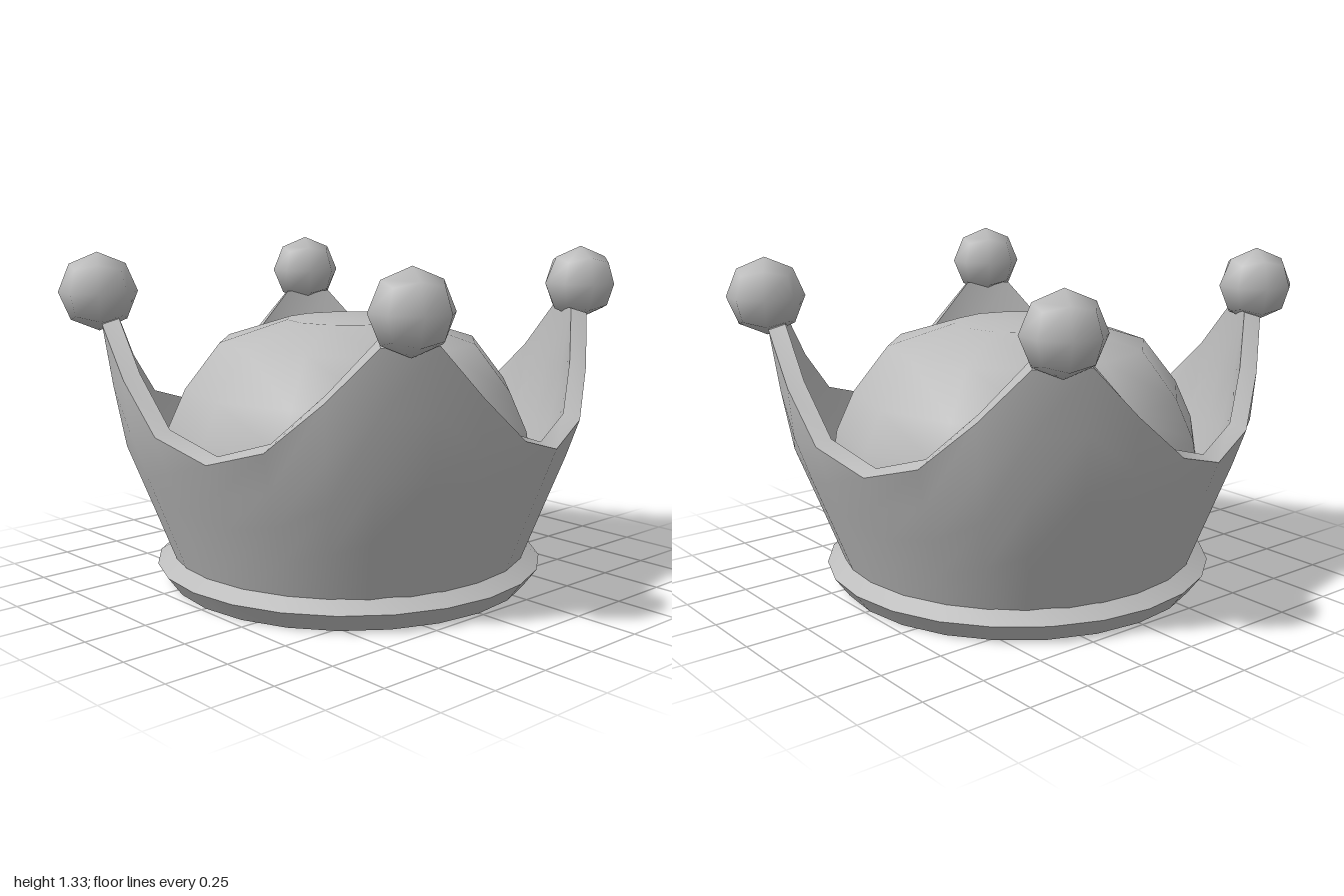
import * as THREE from 'three';
import { toCreasedNormals } from 'three/addons/utils/BufferGeometryUtils.js';

const rad = THREE.MathUtils.degToRad;
const THICKNESS = 0.065;
const WALL_BOTTOM = 0.11;

// Outer wall: [height, radius]
const FLARE = [[0.11, 0.718], [0.35, 0.81], [0.62, 0.915], [0.69, 0.935], [0.88, 0.95], [1.06, 0.98]];
// One point of the crown: [degrees from its tip, rim height]
const POINT = [[-30, 0.69], [-17, 0.87], [-6, 1.06], [6, 1.06], [17, 0.87], [30, 0.69], [45, 0.62]];
const TIP_ANGLES = [30, 120, 210, 300];

function wallRadius(y) {
  let i = 1;
  while (i < FLARE.length - 1 && y > FLARE[i][0]) i++;
  const [y0, r0] = FLARE[i - 1], [y1, r1] = FLARE[i];
  return r0 + (r1 - r0) * (y - y0) / (y1 - y0);
}

// Flared wall with thickness, its rim rising to four points
function wallGeometry() {
  const columns = TIP_ANGLES.flatMap(tip => POINT.map(([d, h]) => [rad(tip + d), h]));
  const steps = [0, 0.25, 0.5, 0.75, 1];
  const position = [], index = [];
  for (const [a, h] of columns) {
    const add = (r, y) => position.push(r * Math.cos(a), y, r * Math.sin(a));
    for (const t of steps) {
      const y = WALL_BOTTOM + (h - WALL_BOTTOM) * t;
      add(wallRadius(y), y);
    }
    for (const t of [...steps].reverse()) {
      const y = WALL_BOTTOM + (h - WALL_BOTTOM) * t;
      add(wallRadius(y) - THICKNESS, y + 0.02 * t);
    }
  }
  const n = steps.length * 2;
  for (let i = 0; i < columns.length; i++) {
    const next = (i + 1) % columns.length;
    for (let j = 0; j < n; j++) {
      const k = (j + 1) % n;
      const a = i * n + j, b = i * n + k, c = next * n + k, d = next * n + j;
      index.push(a, b, d, b, c, d);
    }
  }
  const geometry = new THREE.BufferGeometry();
  geometry.setAttribute('position', new THREE.Float32BufferAttribute(position, 3));
  geometry.setIndex(index);
  return toCreasedNormals(geometry, rad(35));
}

function lathe(points, segments, crease) {
  const profile = points.map(([r, y]) => new THREE.Vector2(r, y));
  return toCreasedNormals(new THREE.LatheGeometry(profile, segments), rad(crease));
}

// Rounded cube ball with smooth normals
function ballGeometry(radius) {
  const geometry = new THREE.BoxGeometry(1, 1, 1, 2, 2, 2);
  const { position, normal } = geometry.attributes;
  const v = new THREE.Vector3();
  for (let i = 0; i < position.count; i++) {
    v.fromBufferAttribute(position, i).normalize();
    normal.setXYZ(i, v.x, v.y, v.z);
    position.setXYZ(i, v.x * radius, v.y * radius, v.z * radius);
  }
  return geometry;
}

export function createModel() {
  const crown = new THREE.Group();
  crown.name = 'crown';
  const grey = new THREE.MeshStandardMaterial({ color: 0xbcbcbc });
  grey.name = 'grey';

  const add = (name, geometry) => {
    const mesh = new THREE.Mesh(geometry, grey);
    mesh.name = name;
    crown.add(mesh);
    return mesh;
  };

  add('pointedWall', wallGeometry());

  // Bevelled band around the foot
  add('baseBand', lathe(
    [[0.655, 0.12], [0.655, 0], [0.73, 0], [0.785, 0.075], [0.71, 0.122], [0.655, 0.12]], 24, 30));

  // Domed cushion, its flat underside set into the wall
  add('cushion', lathe(
    [[0, 0.265], [0.745, 0.265], [0.76, 0.45], [0.73, 0.63], [0.66, 0.785], [0.52, 0.965], [0.25, 1.05], [0, 1.05]],
    12, 45));

  // A ball on every point
  const ball = ballGeometry(0.151);
  for (const angle of TIP_ANGLES) {
    const mesh = add('tipBall', ball);
    mesh.position.set(0.983 * Math.cos(rad(angle)), 1.176, 0.983 * Math.sin(rad(angle)));
    mesh.rotation.y = -rad(angle);
  }
  return crown;
}
